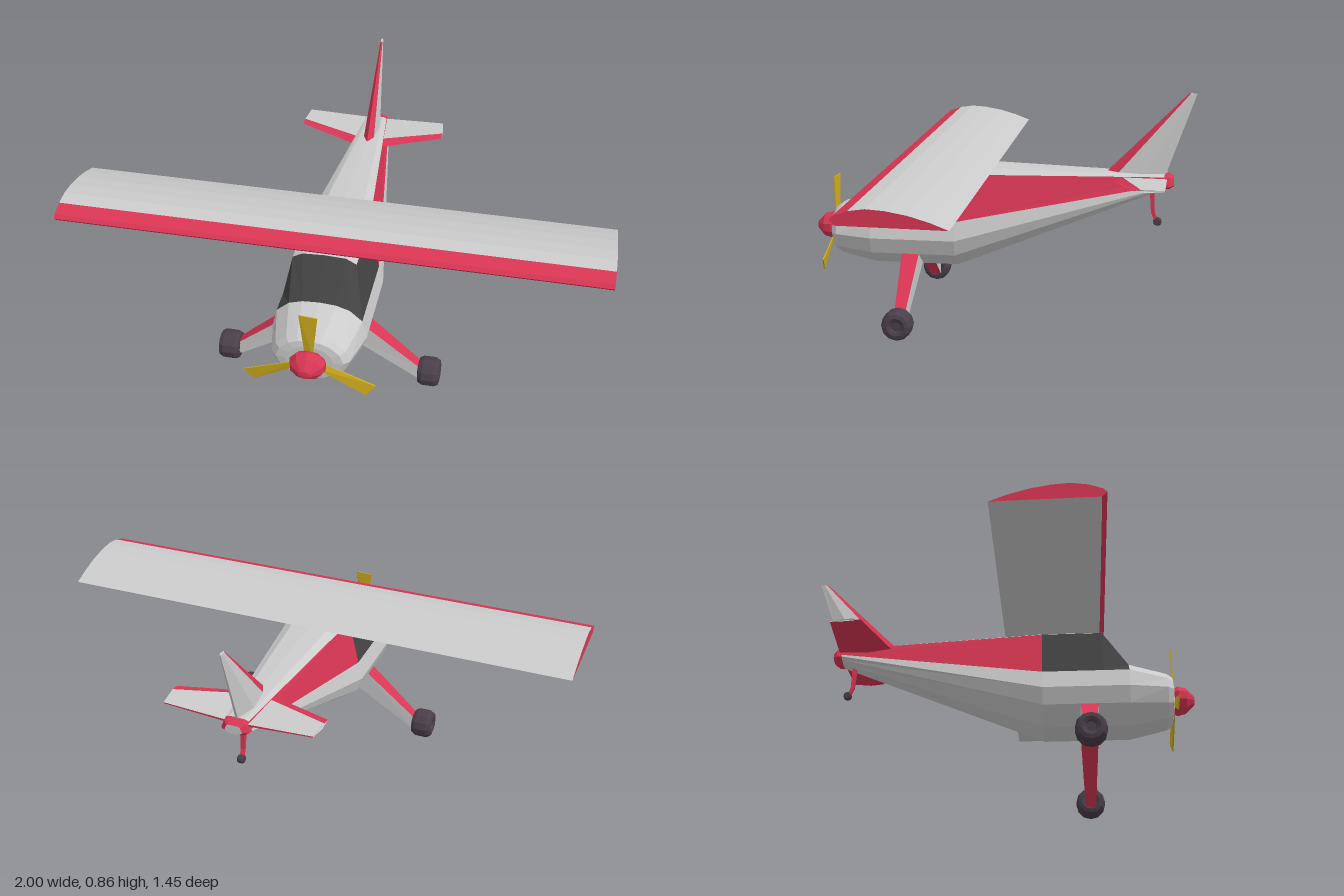
import * as THREE from 'three';

const mat = (color) => new THREE.MeshStandardMaterial({ color, flatShading: true });
const M = {
  grey: mat(0xcccccc), red: mat(0xd93654), glass: mat(0x444444),
  tyre: mat(0x4a3f4a), gold: mat(0xd0ae1e),
};

// Skin closed rings into a faceted solid, one mesh per paint colour
function loft(name, rings, paint, capPaint = 'grey') {
  const faces = {};
  let volume = 0;
  const tri = (key, a, b, c) => {
    (faces[key] ??= []).push([a, b, c]);
    volume += new THREE.Vector3(...a).dot(new THREE.Vector3(...b).cross(new THREE.Vector3(...c)));
  };
  const n = rings[0].length;
  for (let i = 0; i < rings.length - 1; i++) {
    for (let j = 0; j < n; j++) {
      const k = (j + 1) % n, [p, q] = [rings[i], rings[i + 1]];
      tri(paint(i, j), p[j], q[j], q[k]);
      tri(paint(i, j), p[j], q[k], p[k]);
    }
  }
  const first = rings[0], last = rings[rings.length - 1];
  for (let j = 1; j < n - 1; j++) {
    tri(capPaint, first[0], first[j], first[j + 1]);
    tri(capPaint, last[0], last[j + 1], last[j]);
  }
  // Turn every face outward
  const group = new THREE.Group();
  group.name = name;
  for (const [key, list] of Object.entries(faces)) {
    const pts = list.flatMap(([a, b, c]) => (volume > 0 ? [a, b, c] : [a, c, b])).flat();
    const geo = new THREE.BufferGeometry();
    geo.setAttribute('position', new THREE.Float32BufferAttribute(pts, 3));
    geo.computeVertexNormals();
    const mesh = new THREE.Mesh(geo, M[key]);
    mesh.name = `${name}_${key}`;
    group.add(mesh);
  }
  return group;
}

function lathe(name, profile, sides, material) {
  const geo = new THREE.LatheGeometry(profile.map(([r, y]) => new THREE.Vector2(r, y)), sides);
  const mesh = new THREE.Mesh(geo, material);
  mesh.name = name;
  return mesh;
}

// Half outline, bottom to top, mirrored into a full ring at z
const station = (z, half) => [
  ...half.map(([x, y]) => [x, y, z]),
  ...half.slice(1, -1).reverse().map(([x, y]) => [-x, y, z]),
];
const shrink = (half, s, cy) => half.map(([x, y]) => [x * s, cy + (y - cy) * s]);

function fuselage() {
  const nose = [[0, 0.22], [0.06, 0.228], [0.115, 0.265], [0.14, 0.318], [0.125, 0.36], [0.085, 0.395], [0.045, 0.41], [0, 0.413]];
  const lower = [[0, 0.19], [0.07, 0.198], [0.15, 0.255], [0.172, 0.315], [0.155, 0.385]];
  const cowl = [...lower, [0.11, 0.425], [0.06, 0.441], [0, 0.445]];
  const cabin = [...lower, [0.115, 0.558], [0.078, 0.578], [0, 0.582]];
  const tail = [[0, 0.505], [0.02, 0.506], [0.042, 0.512], [0.054, 0.52], [0.052, 0.528], [0.042, 0.555], [0.028, 0.56], [0, 0.561]];
  const rings = [
    station(0.645, shrink(nose, 0.62, 0.32)), station(0.64, shrink(nose, 0.86, 0.32)),
    station(0.62, nose), station(0.48, cowl), station(0.385, cabin), station(0.16, cabin),
    station(-0.61, tail), station(-0.63, shrink(tail, 0.95, 0.532)), station(-0.645, shrink(tail, 0.6, 0.532)),
  ];
  return loft('fuselage', rings, (i, j) => {
    const strip = j < 7 ? j : 13 - j;
    if (i >= 6) return 'red';
    if (i === 3 && strip >= 4) return 'glass';
    if (i === 4 && strip === 4) return 'glass';
    return i === 5 && strip === 4 ? 'red' : 'grey';
  }, 'grey');
}

function wing() {
  const profile = [[0.02, 0.579], [0.378, 0.583], [0.395, 0.6], [0.383, 0.613], [0.335, 0.63],
    [0.28, 0.638], [0.22, 0.634], [0.15, 0.622], [0.08, 0.602]]; // z, y
  const rings = [1, -1].map((x) => profile.map(([z, y]) => [x, y, z]));
  return loft('wing', rings, (i, j) => (j >= 1 && j <= 3 ? 'red' : 'grey'), 'red');
}

function fin() {
  const ring = (y, front, back) => [
    ...front.map(([x, z]) => [x, y, z]), ...back.map(([x, z]) => [x, y, z])];
  const base = ring(0.553, [[0, -0.385], [0.021, -0.43], [0.029, -0.53], [0.005, -0.612]],
    [[-0.005, -0.612], [-0.029, -0.53], [-0.021, -0.43]]);
  const tip = ring(0.863, [[0, -0.69], [0.004, -0.696], [0.005, -0.707], [0.002, -0.72]],
    [[-0.002, -0.72], [-0.005, -0.707], [-0.004, -0.696]]);
  return loft('tailFin', [base, tip], (i, j) => (j === 0 || j === 6 ? 'red' : 'grey'));
}

function stabilizer(s) {
  const root = [[-0.405, 0.538], [-0.447, 0.553], [-0.62, 0.548], [-0.62, 0.54], [-0.5, 0.528]];
  const tip = [[-0.5, 0.555], [-0.532, 0.56], [-0.615, 0.557], [-0.615, 0.553], [-0.55, 0.55]];
  const rings = [root.map(([z, y]) => [s * 0.03, y, z]),
    tip.map(([z, y], j) => [s * (j >= 2 && j <= 3 ? 0.277 : 0.285), y, z])];
  return loft('stabilizer', rings, (i, j) => (j === 1 ? 'grey' : 'red'));
}

function landingGear(s) {
  const gear = new THREE.Group();
  gear.name = s > 0 ? 'leftLandingGear' : 'rightLandingGear';
  // Tapering leg: painted edges, plain front and back
  const ring = (lo, hi, w) => [[lo, -w], [lo, w], [hi, w], [hi, -w]].map(([p, z]) => [s * p[0], p[1], 0.33 + z]);
  gear.add(loft('leg', [ring([0.06, 0.215], [0.13, 0.272], 0.034), ring([0.35, 0.027], [0.35, 0.083], 0.02)],
    (i, j) => (j % 2 ? 'grey' : 'red')));
  const side = [[0, -0.03], [0.018, -0.03], [0.022, -0.036], [0.034, -0.041], [0.048, -0.037], [0.056, -0.022]];
  const wheel = lathe('wheel', [...side, ...side.map(([r, y]) => [r, -y]).reverse()], 12, M.tyre);
  wheel.rotation.z = -Math.PI / 2;
  wheel.position.set(s * 0.382, 0.056, 0.33);
  gear.add(wheel);
  return gear;
}

function propeller() {
  const prop = new THREE.Group();
  prop.name = 'propeller';
  const spinner = lathe('spinner', [[0, -0.01], [0.042, -0.01], [0.053, 0.015], [0.046, 0.045], [0.016, 0.076], [0, 0.078]], 10, M.red);
  spinner.rotation.x = Math.PI / 2;
  prop.add(spinner);
  for (let i = 0; i < 3; i++) {
    // Flat blade widening to the tip, with a little twist
    const ring = (y, w, t) => [[-w, -0.002 - t], [w, -0.002 + t], [w, 0.002 + t], [-w, 0.002 - t]].map(([x, z]) => [x, y, z]);
    const blade = loft('blade', [ring(0.03, 0.012, 0.004), ring(0.197, 0.026, 0.003)], () => 'gold', 'gold');
    blade.rotation.z = (i * Math.PI * 2) / 3;
    prop.add(blade);
  }
  prop.scale.x = 1.28;
  prop.position.set(0, 0.32, 0.647);
  return prop;
}

function tailWheel() {
  const group = new THREE.Group();
  group.name = 'tailGear';
  const ring = (y, z, w) => [[-w, -w], [w, -w], [w, w], [-w, w]].map(([x, d]) => [x, y, z + d]);
  group.add(loft('tailStrut', [ring(0.52, -0.564, 0.009), ring(0.41, -0.57, 0.007), ring(0.372, -0.586, 0.006)], () => 'red', 'red'));
  const wheel = lathe('tailWheel', [[0, -0.012], [0.012, -0.012], [0.016, -0.006], [0.016, 0.006], [0.012, 0.012], [0, 0.012]], 10, M.tyre);
  wheel.rotation.z = -Math.PI / 2;
  wheel.position.set(0, 0.376, -0.588);
  group.add(wheel);
  return group;
}

export function createModel() {
  const plane = new THREE.Group();
  plane.name = 'lightAircraft';
  plane.add(fuselage(), wing(), fin(), propeller(), tailWheel());
  for (const s of [1, -1]) plane.add(stabilizer(s), landingGear(s));
  return plane;
}
